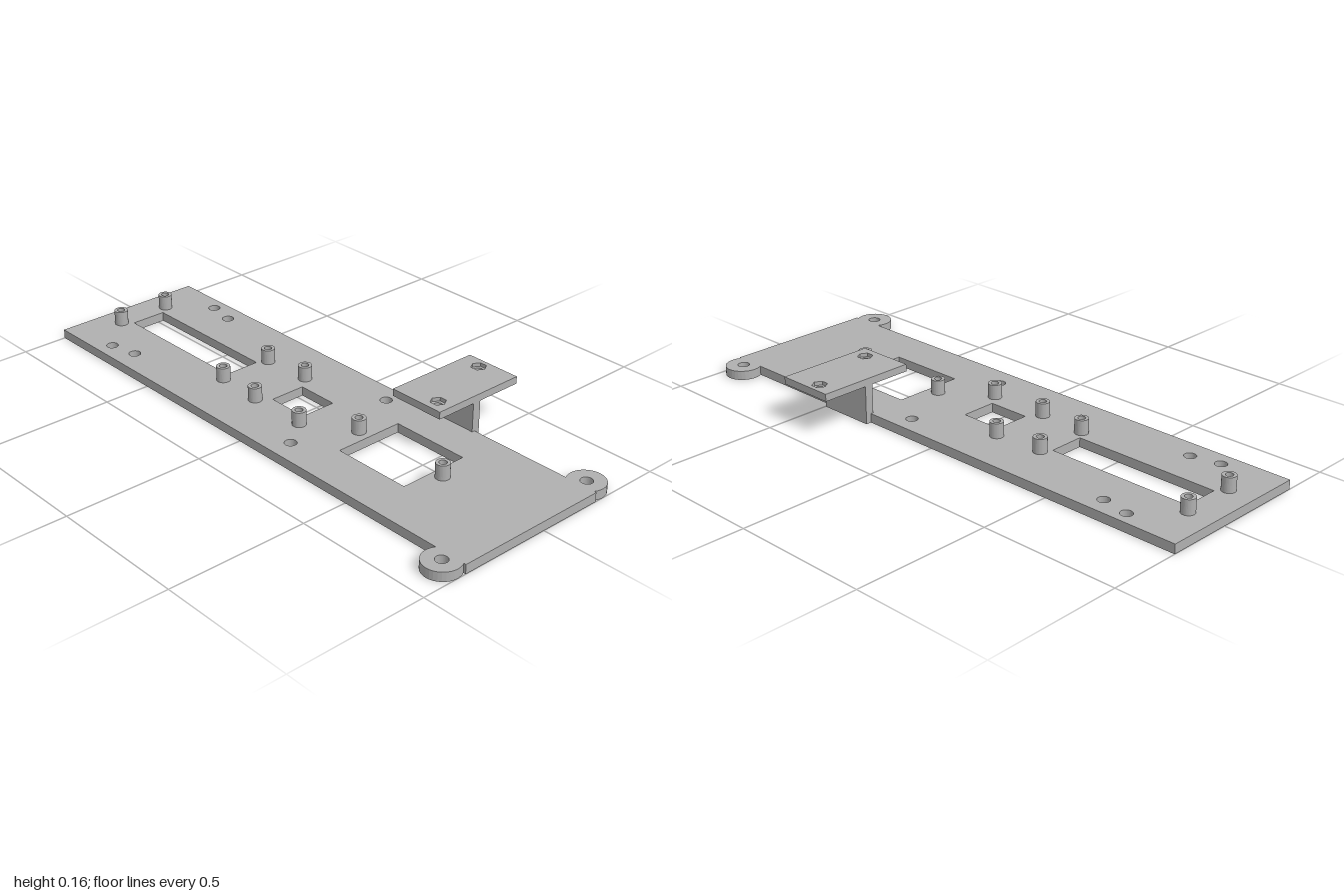
import * as THREE from 'three';

const T = 0.033; // base plate thickness

function rect(PathType, x0, x1, z0, z1) {
  const p = new PathType();
  p.moveTo(x0, z0);
  p.lineTo(x1, z0);
  p.lineTo(x1, z1);
  p.lineTo(x0, z1);
  p.closePath();
  return p;
}

function circle(PathType, x, z, r) {
  const p = new PathType();
  p.absarc(x, z, r, 0, Math.PI * 2, false);
  return p;
}

function hexagon(x, z, r) {
  const pts = [];
  for (let i = 0; i < 6; i++) {
    const a = (i * Math.PI) / 3;
    pts.push(new THREE.Vector2(x + r * Math.cos(a), z + r * Math.sin(a)));
  }
  return new THREE.Path(pts);
}

export function createModel() {
  const model = new THREE.Group();
  model.name = 'mountingPlate';
  const grey = new THREE.MeshStandardMaterial({ color: 0xb0b0b0 });
  grey.name = 'grey';

  // Extrudes an outline drawn in x and z between two heights
  function slab(name, shape, holes, y0, y1) {
    shape.holes.push(...holes);
    const geo = new THREE.ExtrudeGeometry(shape, { depth: y1 - y0, bevelEnabled: false, curveSegments: 16 });
    geo.rotateX(Math.PI / 2);
    geo.translate(0, y1, 0);
    const mesh = new THREE.Mesh(geo, grey);
    mesh.name = name;
    model.add(mesh);
  }

  const standoffs = [
    [-0.906, -0.056], [-0.906, 0.144], [-0.315, -0.056], [-0.315, 0.144],
    [-0.134, -0.067], [-0.134, 0.155], [0.088, 0.155],
    [0.254, 0.045], [0.628, 0.045],
  ];
  const screwHoles = [
    [-0.781, -0.188], [-0.676, -0.168], [0.16, -0.168],
    [-0.781, 0.275], [-0.676, 0.254], [0.16, 0.254],
  ];

  // Base plate with three windows, screw holes and standoff bores
  slab('basePlate', rect(THREE.Shape, -1, 1, -0.236, 0.333), [
    rect(THREE.Path, -0.877, -0.338, -0.021, 0.11),
    rect(THREE.Path, -0.096, 0.057, -0.021, 0.11),
    rect(THREE.Path, 0.3, 0.588, -0.086, 0.171),
    ...screwHoles.map(([x, z]) => circle(THREE.Path, x, z, 0.021)),
    ...standoffs.map(([x, z]) => circle(THREE.Path, x, z, 0.013)),
  ], 0, T);

  // Hollow standoffs
  for (const [x, z] of standoffs) {
    slab('standoff', circle(THREE.Shape, x, z, 0.024), [circle(THREE.Path, x, z, 0.013)], T, 0.086);
  }

  // Round mounting ears at the left corners
  for (const z of [-0.268, 0.365]) {
    slab('mountingEar', circle(THREE.Shape, 0.936, z, 0.064), [circle(THREE.Path, 0.936, z, 0.021)], 0, T);
  }

  // Raised bracket: upright web and a shelf with hexagonal nut recesses
  slab('bracketWeb', rect(THREE.Shape, 0.289, 0.498, -0.256, -0.225), [], 0, 0.137);
  const nuts = [[0.366, -0.388], [0.444, -0.118]];
  const shelf = () => rect(THREE.Shape, 0.289, 0.498, -0.428, -0.07);
  slab('shelfLower', shelf(), nuts.map(([x, z]) => circle(THREE.Path, x, z, 0.014)), 0.137, 0.15);
  slab('shelfUpper', shelf(), nuts.map(([x, z]) => hexagon(x, z, 0.027)), 0.15, 0.163);

  return model;
}
